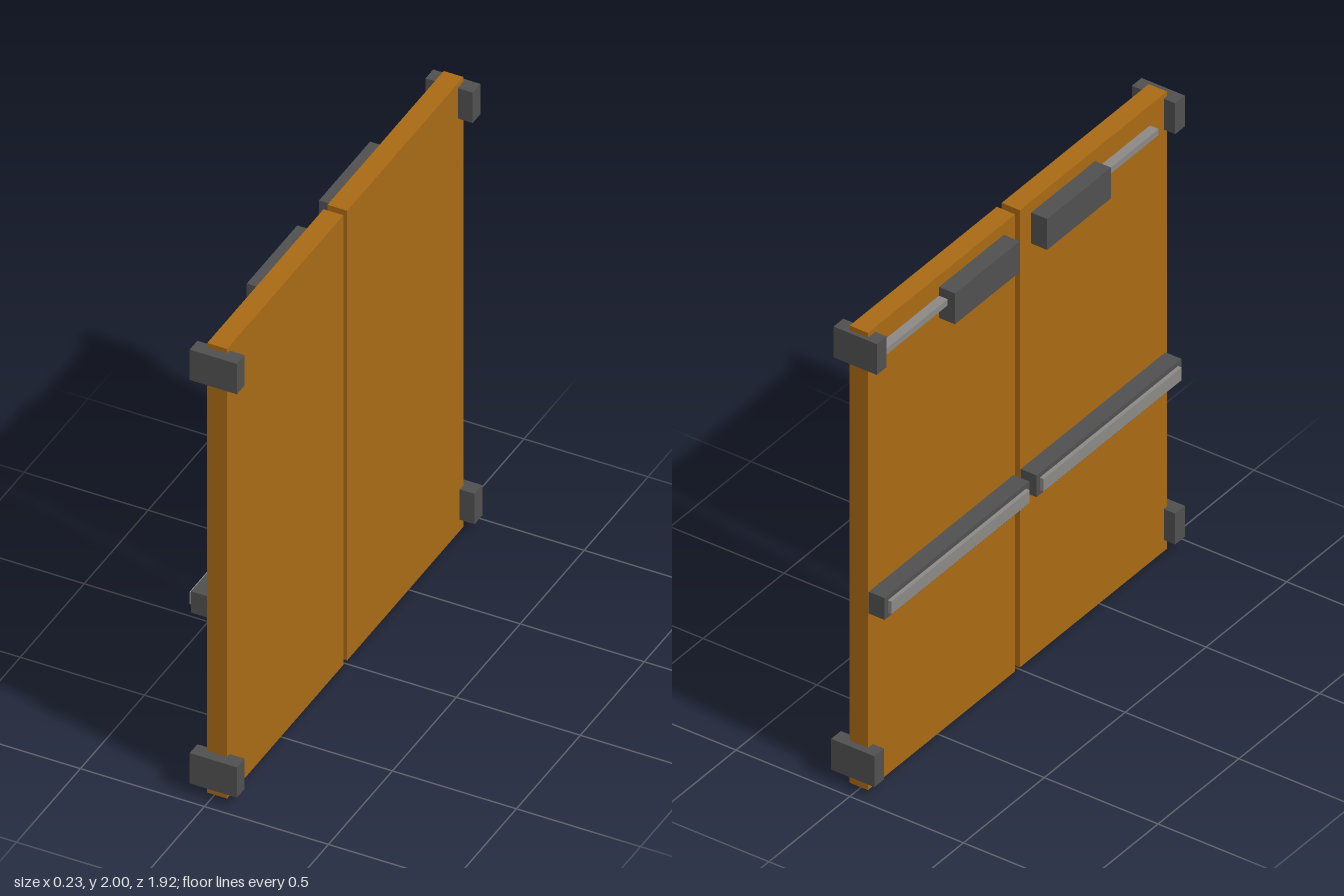
import * as THREE from 'three';

const material = (color) => new THREE.MeshStandardMaterial({ color });

export function createModel() {
  const model = new THREE.Group();
  const wood = material(0xa96a14);
  const dark = material(0x505050);
  const steel = material(0x8c8986);

  // Box given by its [min, max] extent along each axis
  function addBox(parent, name, mat, x, y, z) {
    const size = [x, y, z].map(([a, b]) => Math.abs(b - a));
    const mesh = new THREE.Mesh(new THREE.BoxGeometry(...size), mat);
    mesh.position.set(...[x, y, z].map(([a, b]) => (a + b) / 2));
    mesh.name = name;
    parent.add(mesh);
  }

  // The two leaves are nearly mirrored; each has its own z extents
  const leaves = [
    { name: 'frontLeaf', panel: [0.01, 0.92], topHinge: [0.9, 0.96], lowHinge: [0.9, 0.96],
      closer: [0.08, 0.475], arm: [0.475, 0.815], bar: [0.015, 0.91], pad: [0.035, 0.89] },
    { name: 'backLeaf', panel: [-0.93, -0.02], topHinge: [-0.945, -0.885], lowHinge: [-0.96, -0.9],
      closer: [-0.49, -0.09], arm: [-0.9, -0.49], bar: [-0.925, -0.03], pad: [-0.905, -0.05] },
  ];

  for (const leaf of leaves) {
    const group = new THREE.Group();
    group.name = leaf.name;
    addBox(group, 'doorPanel', wood, [-0.03, 0.05], [0, 2], leaf.panel);
    // Hinge blocks on the outer edge
    addBox(group, 'topHinge', dark, [-0.08, 0.11], [1.845, 1.98], leaf.topHinge);
    addBox(group, 'bottomHinge', dark, [-0.08, 0.11], [0.05, 0.185], leaf.lowHinge);
    // Door closer with its arm
    addBox(group, 'closerBody', dark, [-0.1, -0.03], [1.815, 1.95], leaf.closer);
    addBox(group, 'closerArm', steel, [-0.068, -0.03], [1.885, 1.912], leaf.arm);
    // Push bar with a raised pad
    addBox(group, 'pushBar', dark, [-0.1, -0.03], [0.77, 0.865], leaf.bar);
    addBox(group, 'pushPad', steel, [-0.116, -0.1], [0.79, 0.845], leaf.pad);
    model.add(group);
  }
  return model;
}
